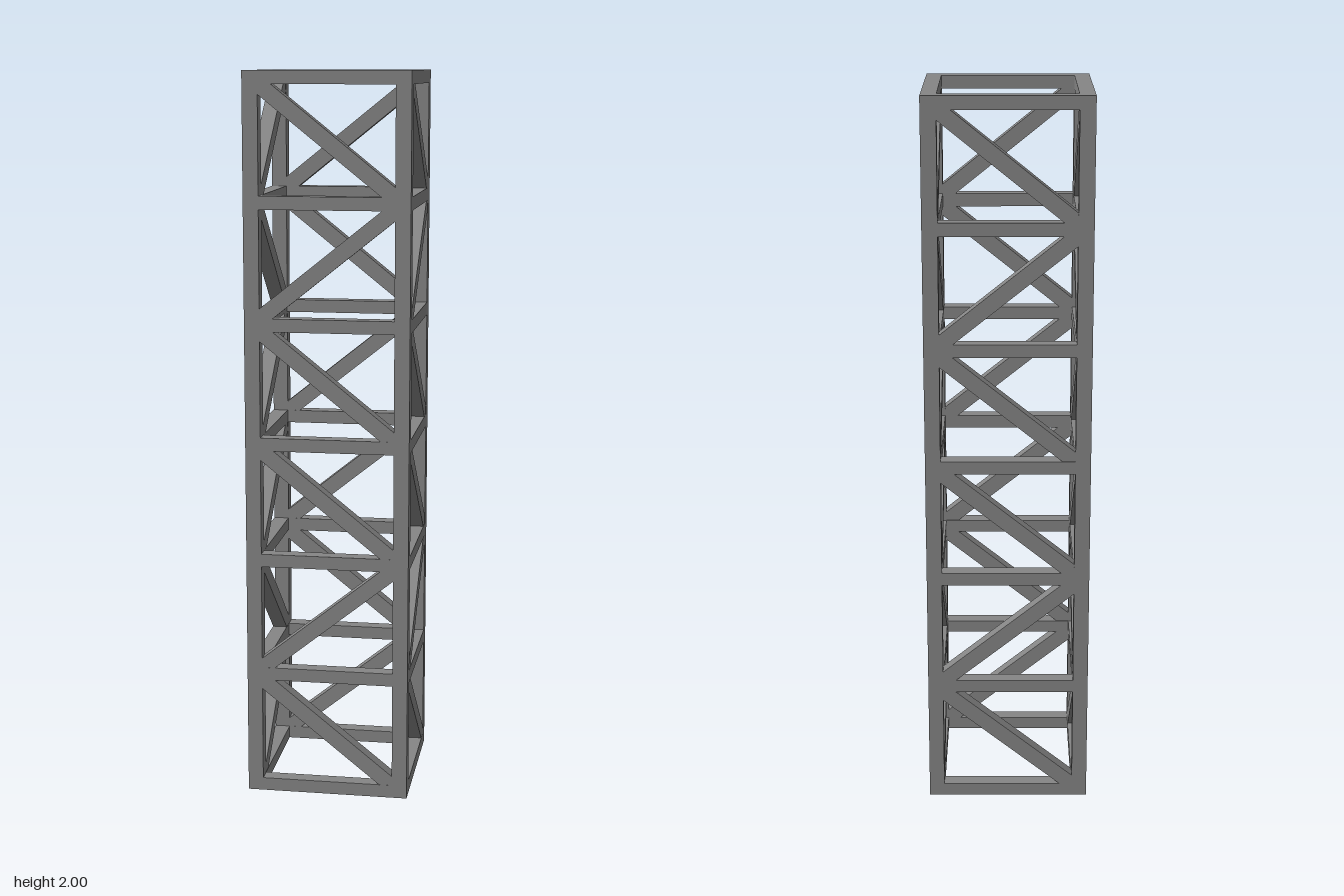
import * as THREE from 'three';

const HALF = 0.204;   // post centre from the axis
const POST = 0.042;   // post side
const RAIL = 0.036;   // rail height
const BAYS = 6;
const STEP = (2 - RAIL) / BAYS;
// Brace direction per bay, bottom to top, seen from outside: -1 falls to the right
const LEAN = [-1, 1, -1, -1, 1, -1];

export function createModel() {
  const tower = new THREE.Group();
  tower.name = 'latticeTower';
  const material = new THREE.MeshStandardMaterial({ color: 0x858585, flatShading: true });

  const addBeam = (parent, name, w, h, d, x, y, z, tilt = 0) => {
    const beam = new THREE.Mesh(new THREE.BoxGeometry(w, h, d), material);
    beam.name = name;
    beam.position.set(x, y, z);
    beam.rotation.z = tilt;
    parent.add(beam);
  };

  // Four equal sides, each turned a quarter about the axis
  for (let s = 0; s < 4; s++) {
    const side = new THREE.Group();
    side.name = 'side' + (s + 1);
    side.rotation.y = s * Math.PI / 2;

    // Corner post
    addBeam(side, 'cornerPost', POST, 2, POST, HALF, 1, HALF);

    // Horizontal rails between the posts
    for (let i = 0; i <= BAYS; i++) {
      addBeam(side, 'rail', 2 * HALF - POST, RAIL, POST, 0, RAIL / 2 + i * STEP, HALF);
    }

    // One diagonal brace per bay, running from node to node
    const length = Math.hypot(2 * HALF, STEP);
    const angle = Math.atan2(STEP, 2 * HALF);
    LEAN.forEach((lean, i) => {
      addBeam(side, 'diagonalBrace', length, 0.043, POST - 0.001,
        0, RAIL / 2 + (i + 0.5) * STEP, HALF, lean * angle);
    });
    tower.add(side);
  }
  return tower;
}
